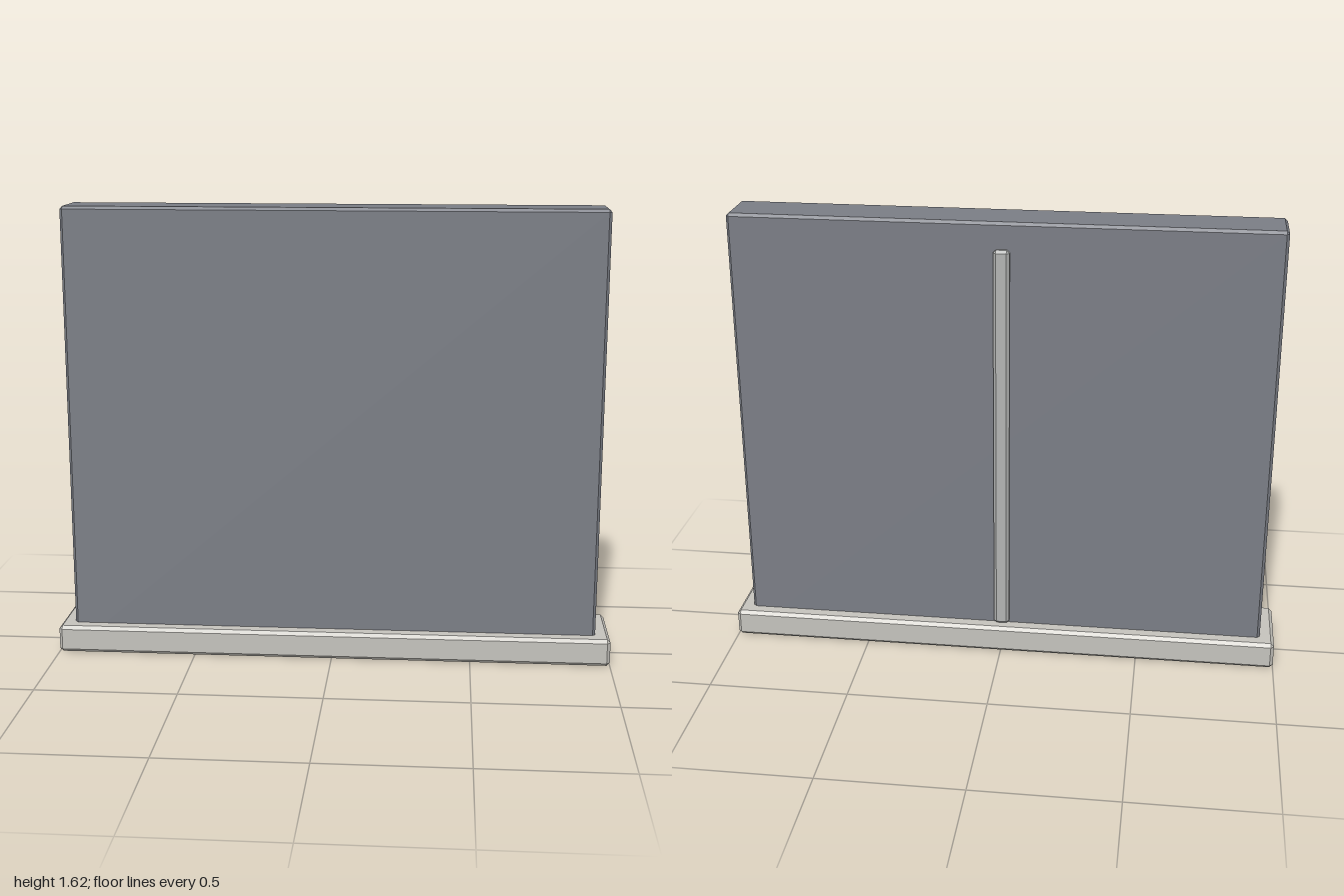
import * as THREE from 'three';
import { ConvexGeometry } from 'three/addons/geometries/ConvexGeometry.js';

// Box between two corners with every edge chamfered by c
function chamferedBox(name, min, max, c, color) {
  const half = min.map((v, i) => (max[i] - v) / 2);
  const points = [];
  for (const sx of [-1, 1]) for (const sy of [-1, 1]) for (const sz of [-1, 1]) {
    const sign = [sx, sy, sz];
    // each corner becomes three points, one on each adjoining face
    for (let axis = 0; axis < 3; axis++) {
      points.push(new THREE.Vector3(...sign.map((s, i) => s * (half[i] - (i === axis ? 0 : c)))));
    }
  }
  const material = new THREE.MeshStandardMaterial({ color, flatShading: true });
  const mesh = new THREE.Mesh(new ConvexGeometry(points), material);
  mesh.name = name;
  mesh.position.set(...min.map((v, i) => (v + max[i]) / 2));
  return mesh;
}

export function createModel() {
  const model = new THREE.Group();
  model.name = 'standingPanel';

  model.add(
    // low plinth
    chamferedBox('base', [-1, 0, -0.143], [1, 0.099, 0.143], 0.012, 0xc4c2bc),
    // upright slab, sunk into the plinth
    chamferedBox('panel', [-0.949, 0.003, -0.093], [0.949, 1.62, 0.093], 0.01, 0x7a7d85),
    // narrow vertical strip on the middle of the back
    chamferedBox('backStrip', [-0.028, 0.099, -0.112], [0.028, 1.527, -0.075], 0.01, 0xb2b3b2)
  );
  return model;
}
